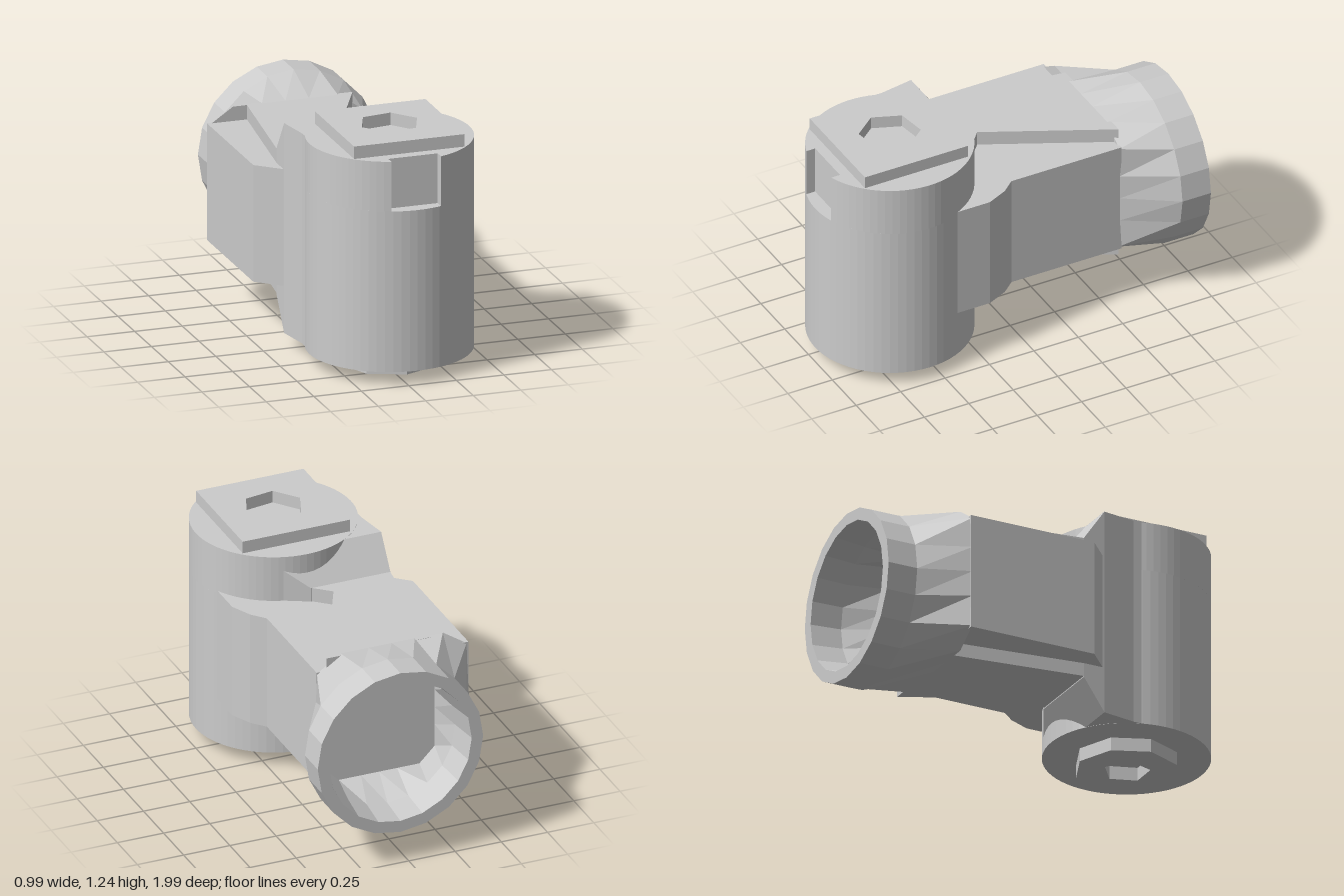
import * as THREE from 'three';

const MID = 0.62;              // mid height of the arm
const HX = 0.05, HZ = 0.57;    // axis of the upright head

export function createModel() {
  const group = new THREE.Group();
  const material = new THREE.MeshStandardMaterial({ color: 0xcccccc, flatShading: true });

  const add = (name, geometry) => {
    const mesh = new THREE.Mesh(geometry, material);
    mesh.name = name;
    group.add(mesh);
  };

  // Extrude a footprint (drawn as x, -z) from height y0 to y1
  const upright = (name, shape, y0, y1) => {
    const g = new THREE.ExtrudeGeometry(shape, { depth: y1 - y0, bevelEnabled: false, curveSegments: 32 });
    g.rotateX(-Math.PI / 2).translate(0, y0, 0);
    add(name, g);
  };
  const footprint = (pts) => new THREE.Shape(pts.map(([x, z]) => new THREE.Vector2(x, -z)));
  const polygon = (n, r, turn) => Array.from({ length: n }, (_, i) => {
    const a = turn + (i / n) * Math.PI * 2;
    return [HX + r * Math.cos(a), HZ - r * Math.sin(a)];
  });

  // Skin a list of equal-length cross-sections and cap both ends
  const loft = (name, sections) => {
    const n = sections[0].length, pos = sections.flat(2), idx = [];
    for (let i = 0; i < sections.length - 1; i++) {
      for (let j = 0; j < n; j++) {
        const k = (j + 1) % n, a = i * n, b = a + n;
        idx.push(a + j, b + j, b + k, a + j, b + k, a + k);
      }
    }
    const last = (sections.length - 1) * n;
    for (let j = 1; j < n - 1; j++) idx.push(0, j, j + 1, last, last + j + 1, last + j);
    const g = new THREE.BufferGeometry();
    g.setAttribute('position', new THREE.Float32BufferAttribute(pos, 3));
    g.setIndex(idx);
    const flat = g.toNonIndexed();
    flat.computeVertexNormals();
    add(name, flat);
  };

  // Upright head, with a shallow keyway cut in the front of its upper part
  const round = new THREE.Shape();
  round.absarc(HX, -HZ, 0.42, 0, Math.PI * 2);
  upright('headLower', round, 0.07, 0.91);

  const notched = new THREE.Shape();
  const half = Math.asin(0.13 / 0.42);
  notched.absarc(HX, -HZ, 0.42, -Math.PI / 2 + half, Math.PI * 1.5 - half);
  notched.lineTo(HX - 0.13, -0.92);
  notched.lineTo(HX + 0.13, -0.92);
  notched.closePath();
  upright('headUpper', notched, 0.91, 1.17);

  // Square top plate and bottom nut, each with a recess
  const plate = footprint([[-0.24, 0.865], [0.34, 0.865], [0.34, 0.285], [-0.24, 0.285]]);
  plate.holes.push(footprint(polygon(6, 0.155, 0.15)));
  upright('topPlate', plate, 1.17, 1.235);

  const nut = footprint(polygon(8, 0.262, 0));
  nut.holes.push(footprint(polygon(5, 0.12, 0.3)));
  upright('bottomNut', nut, 0, 0.07);

  // Shoulder sloping from the full head height down to the arm
  const slab = (l, r, h, z) => [
    [l, MID - h, z], [r, MID - h, z], [r, MID + h, z], [l, MID + h, z],
  ];
  loft('shoulder', [
    slab(-0.35, 0.44, 0.549, 0.5),
    slab(-0.35, 0.43, 0.549, 0.4),
    slab(-0.38, 0.27, 0.549, 0.22),
    slab(-0.38, 0.05, 0.38, 0.105),
  ]);

  // Arm body and the raised panel on its top and underside
  upright('arm', footprint([
    [-0.5, 0.1], [-0.38, 0.21], [-0.35, 0.4], [0.43, 0.4], [0.43, 0.21],
    [0.38, 0.1], [0.32, 0.03], [0.32, -0.59], [-0.5, -0.59],
  ].reverse()), 0.315, 0.925);
  upright('armPanels', footprint([
    [-0.38, 0.11], [0.05, 0.11], [-0.04, 0.03], [0.27, -0.6], [-0.29, -0.6],
  ].reverse()), 0.245, 1.0);

  // Flared socket: chamfered box section blending into an open ring
  const SIDES = 20;
  const section = (cx, z, radius) => Array.from({ length: SIDES }, (_, i) => {
    const a = (i / SIDES) * Math.PI * 2, c = Math.cos(a), s = Math.sin(a);
    const r = radius(Math.abs(c), Math.abs(s));
    return [cx + r * c, MID + r * s, z];
  });
  const boxed = (c, s) => Math.min(0.41 / (c + 1e-6), 0.38 / (s + 1e-6), 1 / (1.206 * c + 1.743 * s));
  const ring = (r, z) => section(0.045, z, () => r);
  loft('socket', [
    section(-0.09, -0.58, boxed),
    ring(0.447, -0.84),
    ring(0.447, -1),
    ring(0.385, -1),
    ring(0.365, -0.84),
    section(0, -0.63, (c, s) => Math.min(0.3 / (c + 1e-6), 0.3 / (s + 1e-6))),
  ]);

  return group;
}
